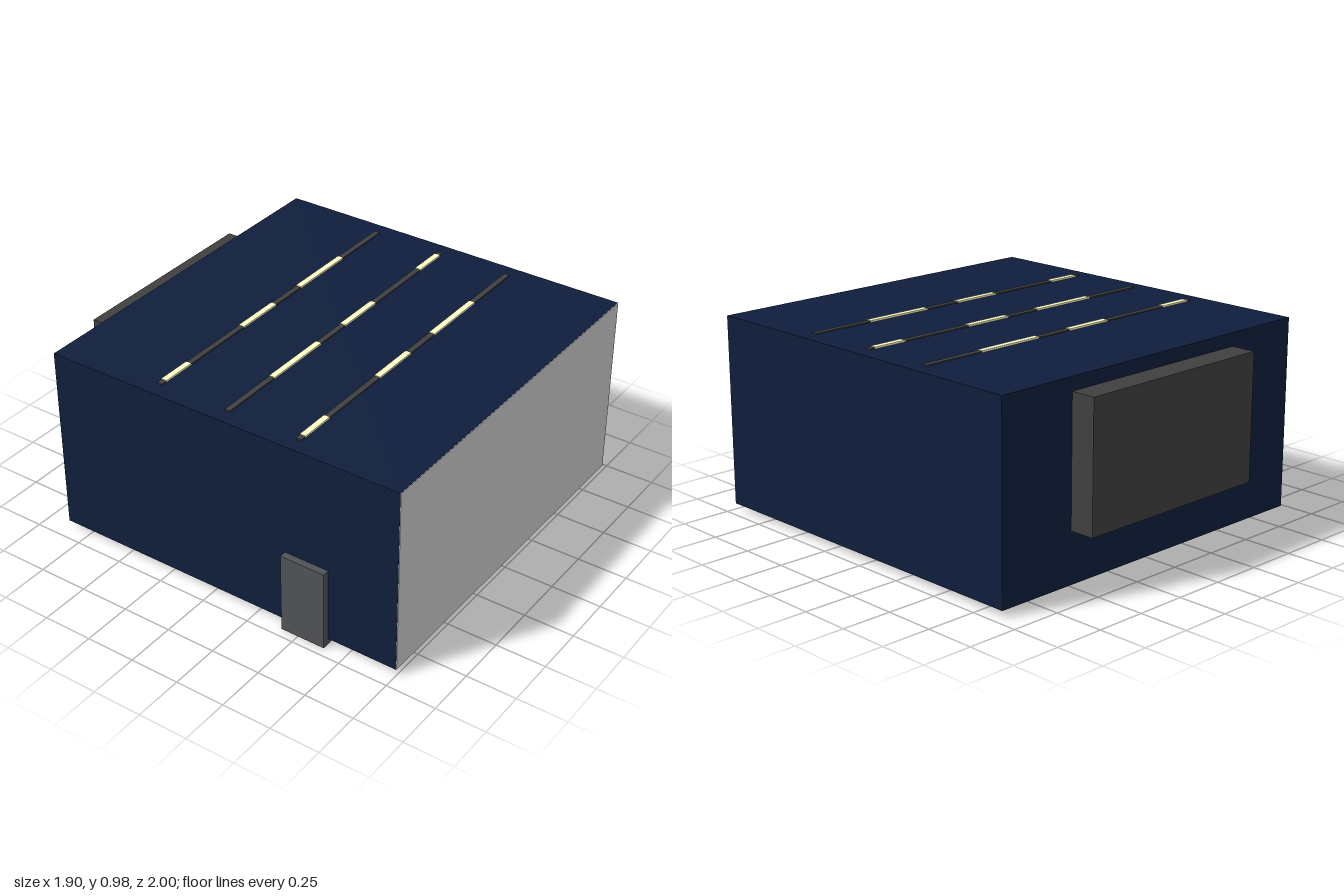
import * as THREE from 'three';

const mat = (color) => new THREE.MeshStandardMaterial({ color });
const NAVY = mat(0x0f1e3c), GREY = mat(0xcccccc), DARK = mat(0x404040),
  FLOOR = mat(0x303030), RUBBLE = mat(0x3c4040), BLACK = mat(0x0a0a12),
  LIT = mat(0xffffc8), STEEL = mat(0x505356);

// Box given by its min and max on each axis
function block(name, material, [x0, x1], [y0, y1], [z0, z1]) {
  const mesh = new THREE.Mesh(new THREE.BoxGeometry(x1 - x0, y1 - y0, z1 - z0), material);
  mesh.position.set((x0 + x1) / 2, (y0 + y1) / 2, (z0 + z1) / 2);
  mesh.name = name;
  return mesh;
}

// Flat irregular shard showing through the underside
function shard(x, z, size, seed) {
  const points = [];
  for (let i = 0; i < 5; i++) {
    const wobble = 0.5 + 0.5 * Math.abs(Math.sin(seed * 12.9 + i * 4.7));
    const angle = (i / 5) * Math.PI * 2 + seed;
    points.push(new THREE.Vector2(Math.cos(angle), Math.sin(angle)).multiplyScalar(size * wobble));
  }
  const geometry = new THREE.ExtrudeGeometry(new THREE.Shape(points), { depth: 0.006, bevelEnabled: false });
  const mesh = new THREE.Mesh(geometry, RUBBLE);
  mesh.rotation.x = Math.PI / 2;
  mesh.position.set(x, 0.031, z);
  mesh.name = 'floorShard';
  return mesh;
}

export function createModel() {
  const model = new THREE.Group();
  model.name = 'roomModule';

  // Shell, front panel and floor
  model.add(block('shell', NAVY, [-0.92, 0.95], [0.03, 0.97], [-0.875, 0.997]));
  model.add(block('frontPanel', GREY, [-0.919, 0.949], [0.031, 0.969], [0.99, 1]));
  model.add(block('floor', FLOOR, [-0.915, 0.945], [0.028, 0.04], [-0.87, 0.99]));

  // Boxes on the back and the right wall
  model.add(block('backUnit', DARK, [-0.51, 0.54], [0.28, 0.905], [-1, -0.87]));
  model.add(block('sideUnit', STEEL, [-0.955, -0.895], [0, 0.41], [0.41, 0.64]));

  // Roof light strips with lit segments
  const outer = [[-0.815, -0.64], [-0.25, 0], [0.2, 0.55]];
  const middle = [[-0.52, -0.165], [0.03, 0.28], [0.67, 0.845]];
  [[-0.32, outer], [0.055, middle], [0.435, outer]].forEach(([z, segments]) => {
    const strip = new THREE.Group();
    strip.name = 'lightStrip';
    strip.add(block('rail', DARK, [-0.845, 0.875], [0.96, 0.976], [z - 0.014, z + 0.014]));
    segments.forEach((span) =>
      strip.add(block('lamp', LIT, span, [0.96, 0.979], [z - 0.015, z + 0.015])));
    model.add(strip);
  });

  // Rubble and small studs on the underside
  [[0.58, -0.4, 0.12], [0.6, 0.77, 0.16], [0.24, 0.15, 0.13], [0.1, 0.24, 0.13],
    [-0.2, -0.41, 0.11], [-0.75, 0.23, 0.14], [-0.6, -0.71, 0.1], [-0.7, -0.36, 0.1],
    [-0.47, 0.27, 0.05], [-0.79, 0.87, 0.06]]
    .forEach(([x, z, size], i) => model.add(shard(x, z, size, i + 1)));
  [[0.65, 0.43], [-0.32, -0.34], [-0.65, 0.91]].forEach(([x, z]) => {
    const stud = new THREE.Mesh(new THREE.CylinderGeometry(0.025, 0.025, 0.01, 10), BLACK);
    stud.position.set(x, 0.031, z);
    stud.name = 'floorStud';
    model.add(stud);
  });

  return model;
}
